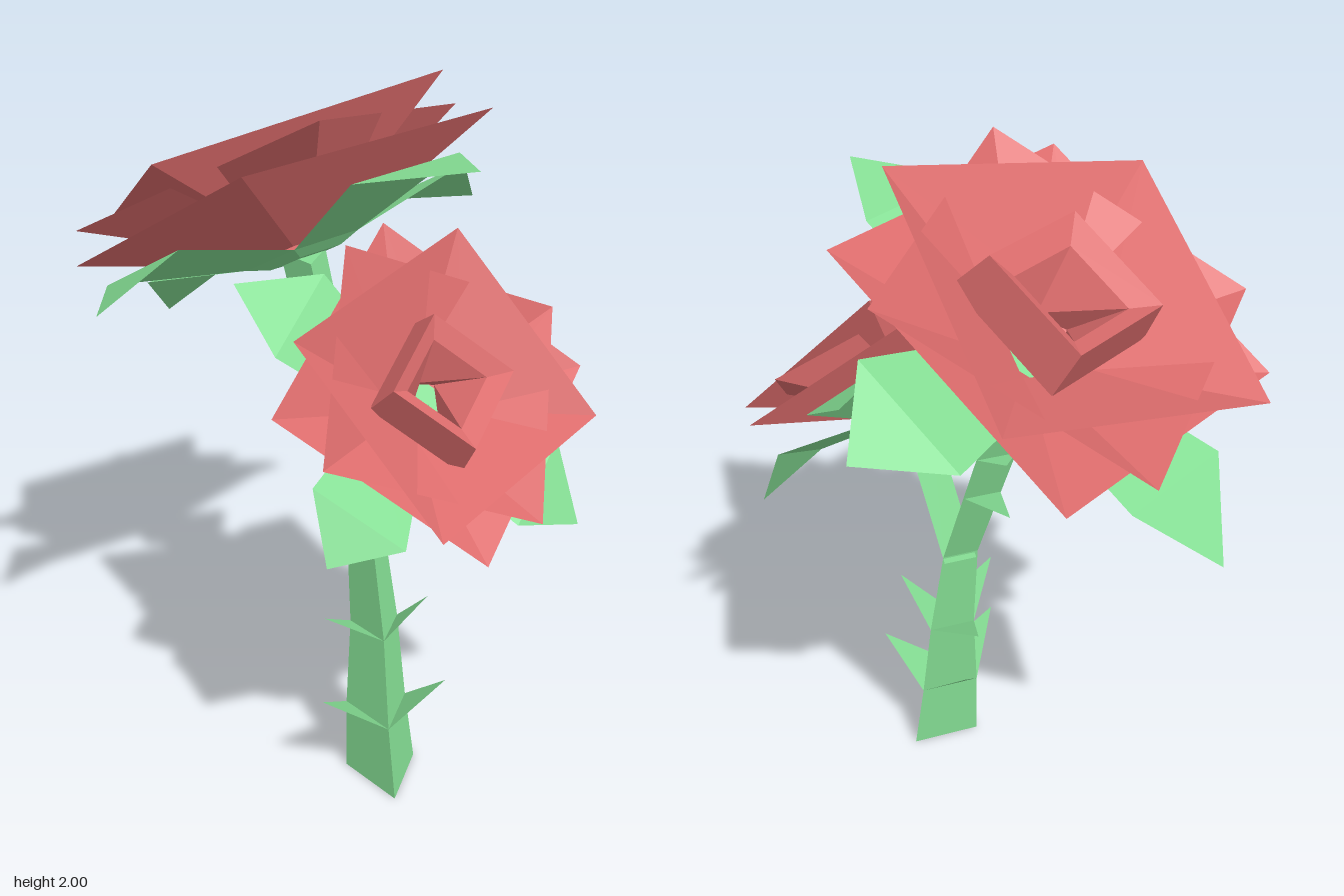
import * as THREE from 'three';

const paint = (color) => new THREE.MeshStandardMaterial({ color, flatShading: true, side: THREE.DoubleSide });

// Mesh from a flat list of triangle corners
function facets(name, points, material) {
  const geometry = new THREE.BufferGeometry().setFromPoints(points);
  geometry.computeVertexNormals();
  const mesh = new THREE.Mesh(geometry, material);
  mesh.name = name;
  return mesh;
}

// Corners of a regular polygon lying flat: [x, y, z, radius, turn]
function ring([x, y, z, r, turn], sides) {
  return Array.from({ length: sides }, (_, k) => {
    const a = turn + (k * 2 * Math.PI) / sides;
    return new THREE.Vector3(x + r * Math.sin(a), y, z + r * Math.cos(a));
  });
}

// Faceted skin through a series of polygon rings
function loft(name, sections, sides, material, capped = false) {
  const rings = sections.map((s) => ring(s, sides));
  const pts = [];
  for (let i = 0; i + 1 < rings.length; i++) {
    for (let k = 0; k < sides; k++) {
      const n = (k + 1) % sides, a = rings[i], b = rings[i + 1];
      pts.push(a[k], a[n], b[n], a[k], b[n], b[k]);
    }
  }
  if (capped) {
    const first = rings[0], last = rings[rings.length - 1];
    for (let k = 1; k < sides - 1; k++) {
      pts.push(first[0], first[k + 1], first[k], last[0], last[k], last[k + 1]);
    }
  }
  return facets(name, pts, material);
}

// Square flower head opening along +y, with four drooping sepals
function makeFlower(name, red, green) {
  const flower = new THREE.Group();
  flower.name = name;
  const q = Math.PI / 4, t = 0.38;
  const V = (x, y, z) => new THREE.Vector3(x, y, z);

  // Nested petal dishes: base radius, base height, rim radius, rim height, turn
  [
    [0.15, -0.06, 0.587, 0.1, 0],
    [0.15, -0.03, 0.54, 0.165, t],
    [0.15, 0.0, 0.538, 0.21, -t],
  ].forEach(([r0, y0, r1, y1, turn], i) => {
    flower.add(loft(`petalLayer${i + 1}`, [[0, y0, 0, r0, q + turn], [0, y1, 0, r1, q + turn]], 4, red));
  });

  // Bud with a sunken, twisted hollow
  flower.add(loft('bud', [
    [0, 0.08, 0.025, 0.257, q],
    [0, 0.22, 0.01, 0.226, q],
    [0, 0.18, 0.005, 0.15, q],
    [0, 0.01, 0, 0.075, q + 0.6],
  ], 4, red));

  // Cup under the petals
  flower.add(loft('cup', [[0, -0.09, 0, 0.1, q], [0, -0.07, 0, 0.156, q]], 4, green, true));

  // Sepals: widening blade with a bent-down tip
  for (let k = 0; k < 4; k++) {
    const tip = V(0, -0.07, k % 2 ? 0.65 : 0.71);
    const a = V(-0.11, -0.07, 0.11), b = V(0.11, -0.07, 0.11);
    const c = V(0.18, 0.008, 0.485), d = V(-0.18, 0.008, 0.485);
    const sepal = facets('sepal', [a, b, c, a, c, d, d, c, tip], green);
    sepal.rotation.y = (k * Math.PI) / 2;
    flower.add(sepal);
  }
  return flower;
}

export function createModel() {
  const model = new THREE.Group();
  model.name = 'roses';
  const red = paint(0xe06e6e), green = paint(0x86e095);
  const h = Math.PI / 2;

  // Three-sided main stem and side branch
  const lower = [-0.02, 0.22, 0.235, 0.1, h], middle = [-0.003, 0.48, 0.2, 0.078, h];
  model.add(loft('stem', [
    [-0.02, 0, 0.26, 0.117, h], lower, middle,
    [-0.005, 0.76, 0.16, 0.06, h],
    [0, 1.5, -0.095, 0.07, h],
  ], 3, green, true));
  model.add(loft('branch', [[0, 0.74, 0.155, 0.055, h], [0, 1.2, 0.32, 0.052, h]], 3, green, true));

  // Thorns: one flat triangle per stem face, from a stem ring out to a tip
  [
    [lower, [[0.07, 0.355, 0.07], [-0.24, 0.355, 0.235], [0.075, 0.36, 0.395]]],
    [middle, [[0.11, 0.6, -0.02], [-0.2, 0.595, 0.2], [0.06, 0.615, 0.33]]],
    [[0, 1.01, 0.07, 0.06, h], [[0.11, 1.07, -0.135]]],
    [[0, 1.16, 0.02, 0.064, h], [[0.06, 1.185, -0.08], [-0.13, 1.22, 0.02], [0.06, 1.26, 0.11]]],
  ].forEach(([section, tips]) => {
    const corners = ring(section, 3);
    tips.forEach((tip, k) => {
      model.add(facets('thorn', [corners[k], corners[(k + 1) % 3], new THREE.Vector3(...tip)], green));
    });
  });

  // Large flower leaning back, small flower leaning forward and a little sideways
  const large = makeFlower('largeFlower', red, green);
  large.position.set(0.007, 1.565, -0.15);
  large.rotation.x = -0.535;
  const small = makeFlower('smallFlower', red, green);
  small.position.set(0, 1.234, 0.337);
  small.rotation.set(0.84, 0.576, 0.12, 'XZY');
  small.scale.setScalar(0.77);
  model.add(large, small);
  return model;
}
